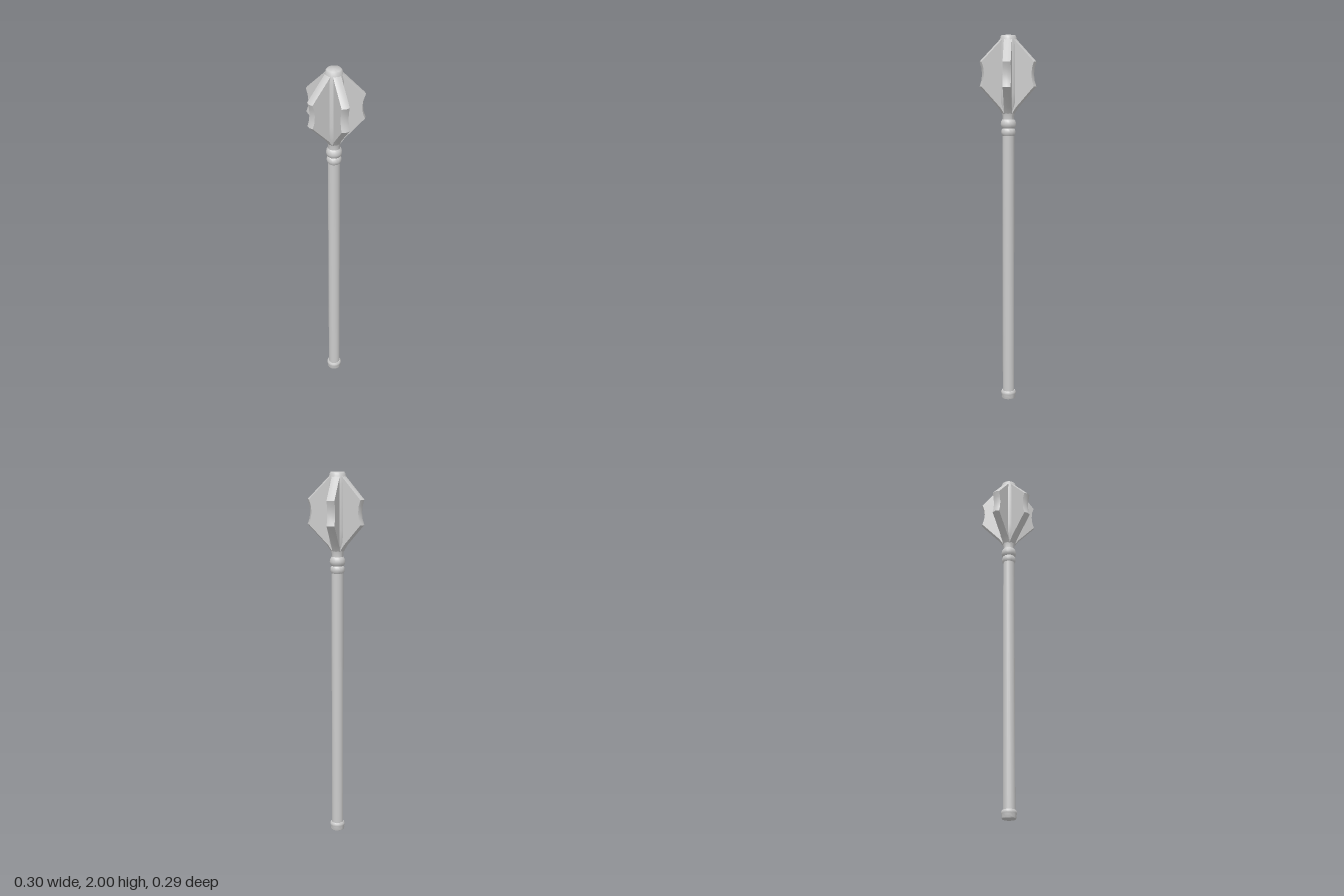
import * as THREE from 'three';
import { toCreasedNormals } from 'three/addons/utils/BufferGeometryUtils.js';

const material = new THREE.MeshStandardMaterial({ color: 0xcccccc });

function turned(name, profile, sides, crease = 0.9) {
  const points = profile.map(([r, y]) => new THREE.Vector2(r, y));
  const mesh = new THREE.Mesh(toCreasedNormals(new THREE.LatheGeometry(points, sides), crease), material);
  mesh.name = name;
  return mesh;
}

// Flange: a ridged cross-section swept down a list of [height, reach]
function flangeGeometry() {
  const half = 0.021, bevel = 0.006;
  const rows = [
    [1.985, 0.038], [1.86, 0.158], [1.83, 0.148], [1.795, 0.144],
    [1.76, 0.148], [1.73, 0.158], [1.62, 0.057], [1.585, 0.034],
  ];
  const positions = [], index = [];
  rows.forEach(([y, reach], i) => {
    const section = [[-half, 0], [-half, reach - bevel], [0, reach], [half, reach - bevel], [half, 0]];
    section.forEach(([x, z]) => positions.push(x, y, z));
    if (i === rows.length - 1) return;
    for (let j = 0; j < 4; j++) {
      const a = i * 5 + j, b = a + 5;
      index.push(a, b, b + 1, a, b + 1, a + 1);
    }
  });
  const geometry = new THREE.BufferGeometry();
  geometry.setAttribute('position', new THREE.Float32BufferAttribute(positions, 3));
  geometry.setIndex(index);
  return toCreasedNormals(geometry, 0.6);
}

export function createModel() {
  const mace = new THREE.Group();
  mace.name = 'mace';

  // Handle with a rounded pommel
  mace.add(turned('pommel', [
    [0, 0], [0.036, 0], [0.039, 0.006], [0.037, 0.018], [0.041, 0.026], [0.041, 0.036], [0.036, 0.044], [0, 0.046],
  ], 20));
  mace.add(turned('shaft', [[0.032, 0.03], [0.032, 1.49]], 16));

  // Two beads under the head
  mace.add(turned('collar', [
    [0.03, 1.465], [0.036, 1.473], [0.039, 1.487], [0.036, 1.501], [0.031, 1.507],
    [0.038, 1.514], [0.042, 1.53], [0.038, 1.547], [0.031, 1.556],
  ], 20));

  // Head core with a flat cap
  mace.add(turned('headCore', [
    [0.031, 1.55], [0.031, 1.572], [0.037, 1.597], [0.05, 1.64],
    [0.052, 1.7], [0.052, 1.94], [0.046, 1.972], [0.041, 1.993], [0.036, 2], [0, 2],
  ], 20, 1.2));

  // Five flanges, the first pointing backward
  const flange = flangeGeometry();
  for (let i = 0; i < 5; i++) {
    const mesh = new THREE.Mesh(flange, material);
    mesh.name = `flange${i + 1}`;
    mesh.rotation.y = Math.PI + (i * Math.PI * 2) / 5;
    mace.add(mesh);
  }

  // Centre the uneven flange spread
  mace.position.z = 0.01;
  const model = new THREE.Group();
  model.add(mace);
  return model;
}
